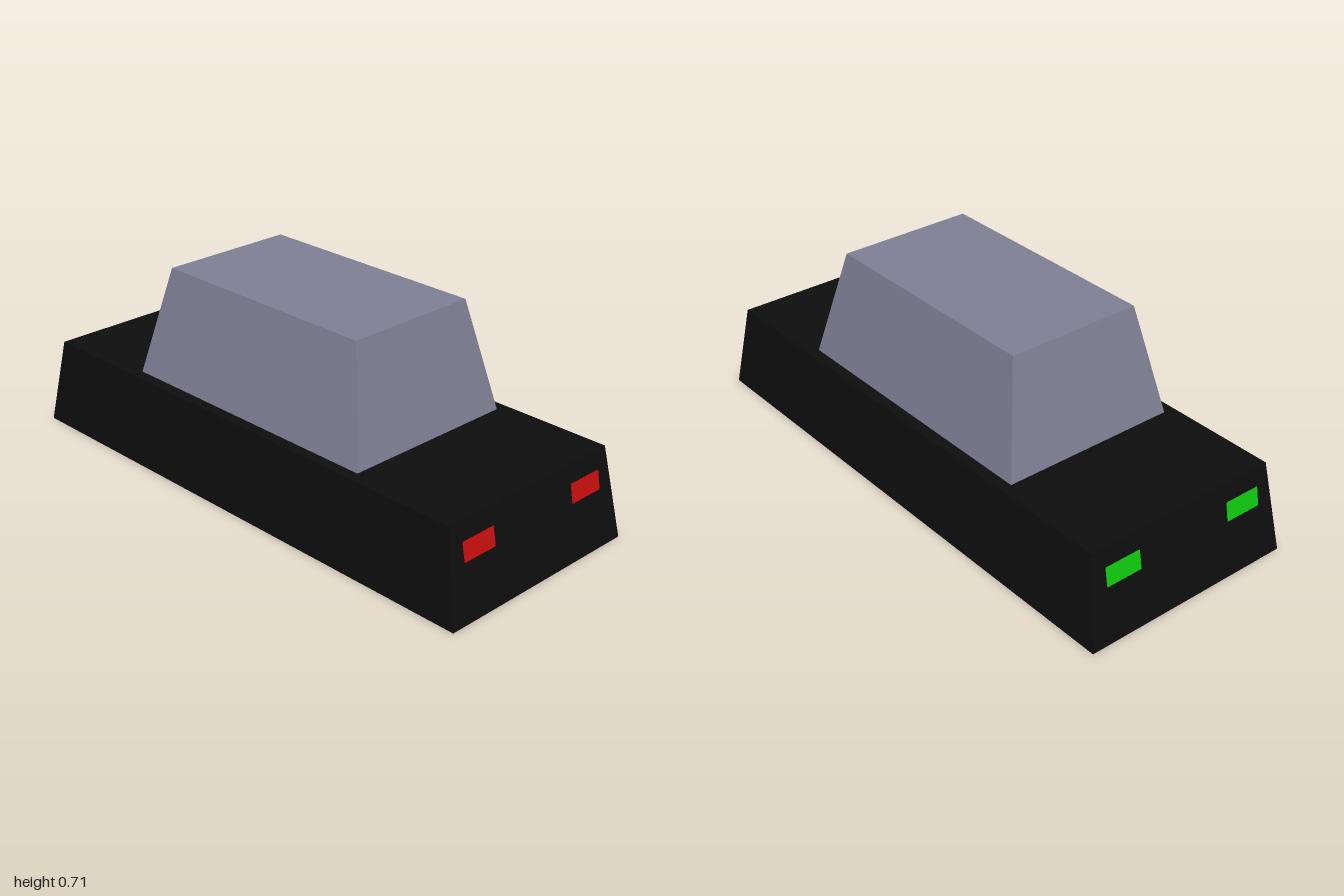
import * as THREE from 'three';

const black = new THREE.MeshStandardMaterial({ name: 'black paint', color: 0x0e0e0e });
const grey = new THREE.MeshStandardMaterial({ name: 'blue grey cabin', color: 0x808096 });
const red = new THREE.MeshStandardMaterial({ name: 'red light', color: 0xcc0e0e });
const green = new THREE.MeshStandardMaterial({ name: 'green light', color: 0x0ecc0e });
for (const m of [black, grey, red, green]) m.flatShading = true;

// Box tapering from a bottom half-size [x, z] to a top half-size [x, z]
function taperedBox(name, y0, y1, bottom, top, material) {
  const geometry = new THREE.BoxGeometry(2, y1 - y0, 2);
  geometry.translate(0, (y0 + y1) / 2, 0);
  const p = geometry.attributes.position;
  for (let i = 0; i < p.count; i++) {
    const half = p.getY(i) > (y0 + y1) / 2 ? top : bottom;
    p.setX(i, p.getX(i) * half[0]);
    p.setZ(i, p.getZ(i) * half[1]);
  }
  geometry.computeVertexNormals();
  const mesh = new THREE.Mesh(geometry, material);
  mesh.name = name;
  return mesh;
}

export function createModel() {
  const car = new THREE.Group();
  car.name = 'car';
  const height = 0.32, halfLength = 1, topHalfLength = 0.94;

  car.add(taperedBox('body', 0, height, [0.403, halfLength], [0.371, topHalfLength], black));
  car.add(taperedBox('cabin', height, 0.71, [0.33, 0.53], [0.251, 0.44], grey));

  // Thin light plates lying on the sloping ends
  const slope = (halfLength - topHalfLength) / height;
  const lightY = 0.223;
  for (const end of [1, -1]) {
    const lights = new THREE.Group();
    lights.name = end > 0 ? 'frontLights' : 'rearLights';
    for (const side of [1, -1]) {
      const light = new THREE.Mesh(new THREE.BoxGeometry(0.137, 0.065, 0.006), end > 0 ? red : green);
      light.name = side * end > 0 ? 'leftLight' : 'rightLight';
      light.position.set(side * 0.255, lightY, halfLength - slope * lightY);
      light.rotation.x = -Math.atan(slope);
      if (end < 0) light.name = side > 0 ? 'rightLight' : 'leftLight';
      lights.add(light);
    }
    if (end < 0) lights.rotation.y = Math.PI;
    car.add(lights);
  }
  return car;
}
